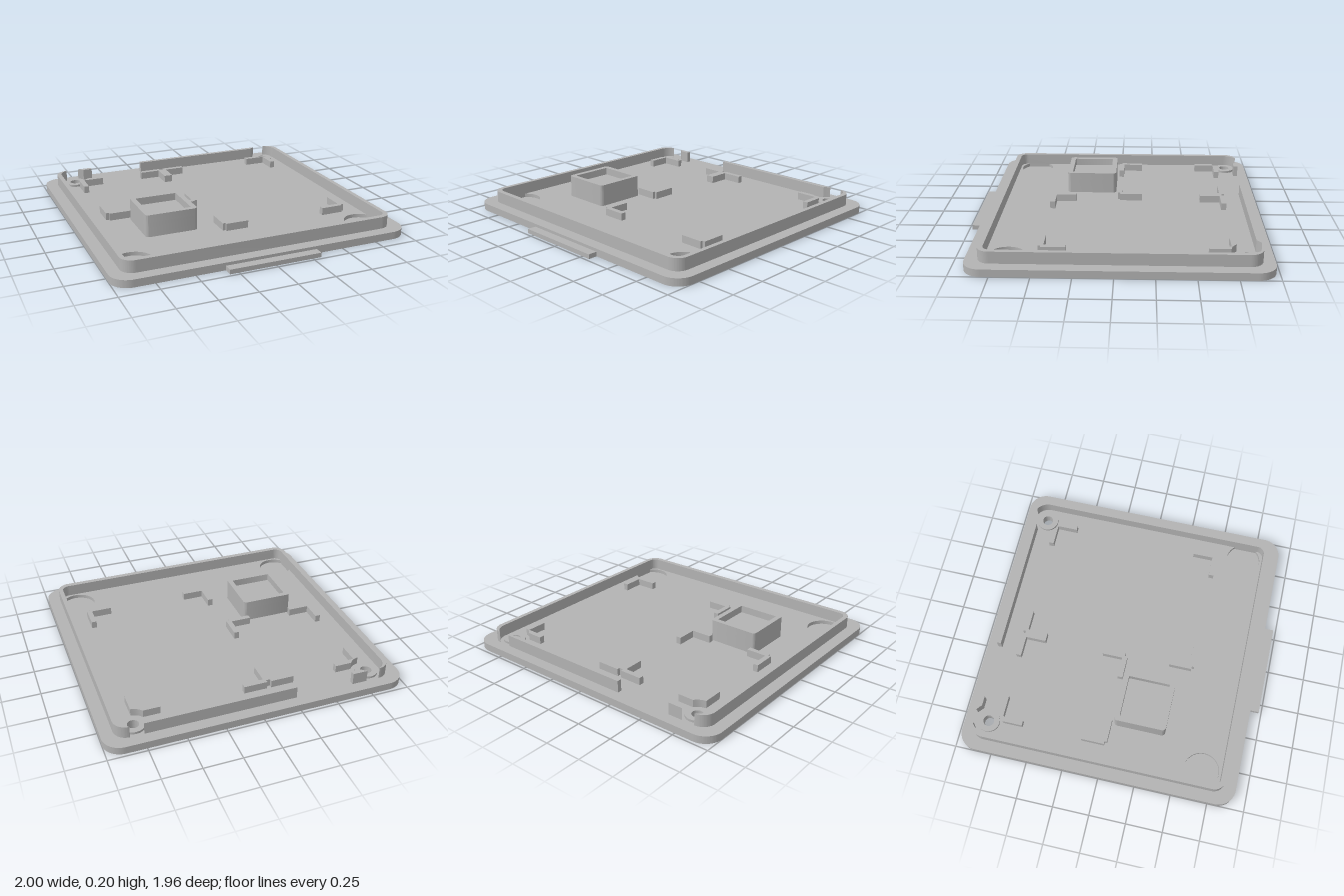
import * as THREE from 'three';
import { toCreasedNormals } from 'three/addons/utils/BufferGeometryUtils.js';

const PI = Math.PI;
const FLOOR = 0.05, RIM_TOP = 0.13, CLIP_TOP = 0.1;
const SCREW = { x: 0.79, z: -0.815 };
const CLEAR = 0.1; // clearance radius round each screw

export function createModel() {
  const group = new THREE.Group();
  const grey = new THREE.MeshStandardMaterial({ color: 0xb3b3b3 });
  grey.name = 'plain grey';

  // Extrudes a plan outline (x, z) between two heights
  const slab = (name, shape, y0, y1) => {
    const flat = new THREE.ExtrudeGeometry(shape, { depth: y1 - y0, bevelEnabled: false, curveSegments: 20 });
    flat.rotateX(PI / 2).translate(0, y1, 0);
    const mesh = new THREE.Mesh(toCreasedNormals(flat, 0.6), grey);
    mesh.name = name;
    group.add(mesh);
    return mesh;
  };
  const poly = pts => new THREE.Shape(pts.map(([x, z]) => new THREE.Vector2(x, z)));
  const rect = (x0, x1, z0, z1) => poly([[x0, z0], [x1, z0], [x1, z1], [x0, z1]]);
  const rounded = (x0, x1, z0, z1, r) => {
    const s = new THREE.Shape();
    s.absarc(x1 - r, z0 + r, r, -PI / 2, 0);
    s.absarc(x1 - r, z1 - r, r, 0, PI / 2);
    s.absarc(x0 + r, z1 - r, r, PI / 2, PI);
    s.absarc(x0 + r, z0 + r, r, PI, 1.5 * PI);
    s.closePath();
    return s;
  };
  const circle = (x, z, r) => new THREE.Path().absarc(x, z, r, 0, 2 * PI);
  // Round pocket cut straight where it meets the rim
  const pocket = side => {
    const a = Math.acos(0.09 / 0.12), p = new THREE.Path();
    if (side > 0) p.absarc(0.8, 0.67, 0.12, a, 2 * PI - a);
    else p.absarc(-0.8, 0.67, 0.12, PI + a, 3 * PI - a);
    p.closePath();
    return p;
  };

  // Base plate: closed bottom layer, upper layer with two round pockets
  const bottom = rounded(-1, 1, -0.98, 0.92, 0.12);
  const top = rounded(-1, 1, -0.98, 0.92, 0.12);
  for (const s of [-1, 1]) {
    bottom.holes.push(circle(s * SCREW.x, SCREW.z, 0.037));
    top.holes.push(circle(s * SCREW.x, SCREW.z, 0.037), pocket(s));
  }
  slab('basePlateBottom', bottom, 0, 0.025);
  slab('basePlateTop', top, 0.025, FLOOR);
  slab('frontTab', rect(-0.31, 0.31, 0.9, 0.98), 0, 0.03);

  // Low rings round the screw holes
  for (const s of [-1, 1]) {
    const ring = new THREE.Shape().absarc(s * SCREW.x, SCREW.z, 0.075, 0, 2 * PI);
    ring.holes.push(circle(s * SCREW.x, SCREW.z, 0.037));
    slab('screwRing', ring, FLOOR, 0.065);
  }

  // Rim along the sides and front, its back ends hollowed round the screws
  const cut = Math.acos(0.044 / CLEAR);
  const rim = new THREE.Shape();
  rim.moveTo(-0.834, -0.905);
  rim.absarc(-0.835, -0.82, 0.085, 1.5 * PI, PI, true);
  rim.absarc(-0.84, 0.76, 0.08, PI, PI / 2, true);
  rim.absarc(0.84, 0.76, 0.08, PI / 2, 0, true);
  rim.absarc(0.835, -0.82, 0.085, 0, -PI / 2, true);
  rim.absarc(SCREW.x, SCREW.z, CLEAR, -cut, 0);
  rim.absarc(0.84, 0.755, 0.05, 0, PI / 2);
  rim.absarc(-0.84, 0.755, 0.05, PI / 2, PI);
  rim.absarc(-SCREW.x, SCREW.z, CLEAR, PI, PI + cut);
  rim.closePath();
  slab('rim', rim, FLOOR, RIM_TOP);

  // Back rim pieces either side of the opening
  slab('backRimShort', poly([[-0.746, -0.905], [-0.645, -0.905], [-0.645, -0.875], [-0.71, -0.875], [-0.73, -0.893]]), FLOOR, RIM_TOP);
  slab('backRimLong', poly([[0.746, -0.905], [-0.25, -0.905], [-0.25, -0.875], [0.71, -0.875], [0.73, -0.893]]), FLOOR, RIM_TOP);

  // Back corner brackets, trimmed round the screws
  for (const s of [-1, 1]) {
    const pts = [[0.6, -0.755], [0.71, -0.755], [0.727, -0.737], [0.75, -0.723], [0.78, -0.716],
      [0.78, -0.58], [0.745, -0.58], [0.745, -0.72], [0.6, -0.72]];
    slab('backBracket', poly(pts.map(([x, z]) => [s * x, z])), FLOOR, CLIP_TOP);
  }

  // Shared T bracket with a small notch
  slab('teeBracket', poly([[-0.295, -0.755], [-0.14, -0.755], [-0.14, -0.735], [-0.112, -0.735], [-0.112, -0.755],
    [0.045, -0.755], [0.045, -0.72], [-0.095, -0.72], [-0.095, -0.58], [-0.155, -0.58], [-0.155, -0.72], [-0.295, -0.72]]),
  FLOOR, CLIP_TOP);

  // L brackets with a nicked corner: outer corner x, outer z, direction along x
  for (const [x, z, d] of [[-0.78, 0.01, 1], [-0.12, 0.01, -1], [-0.13, 0.48, 1], [0.78, 0.48, -1]]) {
    const pts = [[0, -0.175], [0.035, -0.175], [0.035, -0.035], [0.175, -0.035], [0.175, 0],
      [0.02, 0], [0.02, -0.017], [0, -0.017]];
    slab('cornerBracket', poly(pts.map(([u, v]) => [x + d * u, z + v])), FLOOR, CLIP_TOP);
  }

  // Raised square block with a shallow well
  slab('blockBase', rounded(-0.625, -0.27, 0.025, 0.38, 0.025), FLOOR, 0.15);
  const wall = rounded(-0.625, -0.27, 0.025, 0.38, 0.025);
  wall.holes.push(rounded(-0.59, -0.305, 0.06, 0.345, 0.006));
  slab('blockWall', wall, 0.15, 0.2);

  return group;
}
